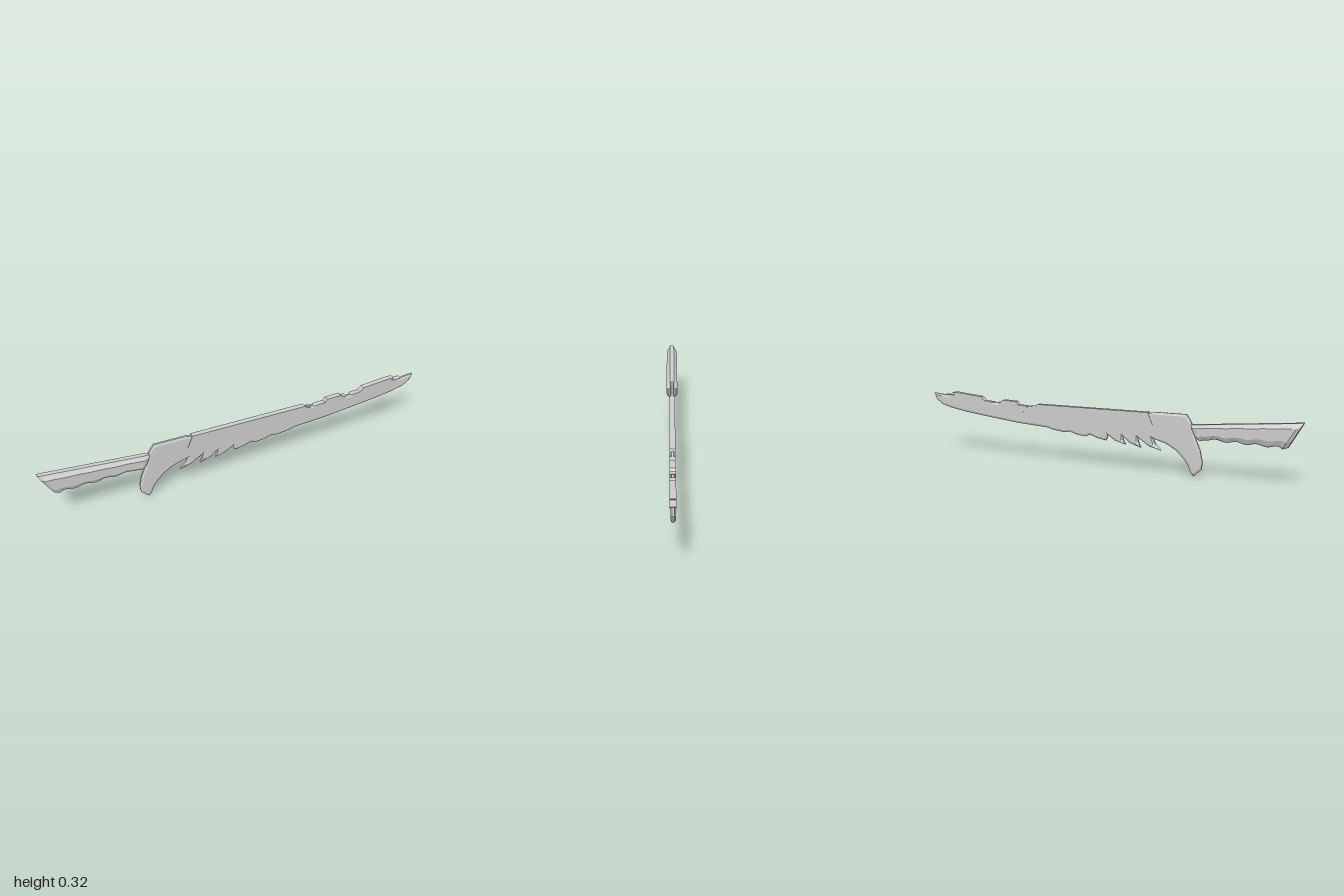
import * as THREE from 'three';

const grey = new THREE.MeshStandardMaterial({ color: 0xcccccc, flatShading: true, side: THREE.DoubleSide });

// Flat outline, centred on z = 0, with edges ground inwards
function plate(name, points, halfZ, bevel, edgeHalfZ) {
  const shape = new THREE.Shape(points.map(([x, y]) => new THREE.Vector2(x, y)));
  const geo = new THREE.ExtrudeGeometry(shape, {
    depth: edgeHalfZ * 2, bevelEnabled: bevel > 0, bevelSegments: 1,
    bevelSize: bevel, bevelOffset: -bevel, bevelThickness: halfZ - edgeHalfZ,
  });
  geo.translate(0, 0, -edgeHalfZ);
  const mesh = new THREE.Mesh(geo, grey);
  mesh.name = name;
  return mesh;
}

// Grip lofted through slanted octagonal sections: [topX, topY, bottomX, bottomY, halfZ]
function makeHandle() {
  const sections = [[-1, 0.3, -0.93, 0.18, 0.02], [-0.985, 0.298, -0.905, 0.172, 0.029]];
  const steps = 24;
  for (let i = 1; i < steps; i++) {
    const t = i / steps;
    const wave = 0.005 * Math.sin(t * Math.PI * 8);
    sections.push([-0.985 + 0.495 * t, 0.298 - 0.046 * t, -0.905 + 0.39 * t, 0.178 + 0.008 * t + wave, 0.029]);
  }
  sections.push([-0.49, 0.252, -0.51, 0.175, 0.029], [-0.465, 0.25, -0.495, 0.182, 0.021]);

  // Across the section: [fraction from top to bottom, fraction of half width]
  const ring = [[0, 0.4], [0.2, 1], [0.72, 1], [0.93, 0.65], [1, 0.3],
    [1, -0.3], [0.93, -0.65], [0.72, -1], [0.2, -1], [0, -0.4]];
  const n = ring.length;
  const pos = [];
  const index = [];
  for (const [tx, ty, bx, by, w] of sections) {
    for (const [f, s] of ring) pos.push(tx + (bx - tx) * f, ty + (by - ty) * f, w * s);
  }
  for (let i = 0; i < sections.length - 1; i++) {
    for (let j = 0; j < n; j++) {
      const a = i * n + j, b = i * n + (j + 1) % n;
      index.push(a, b, a + n, b, b + n, a + n);
    }
  }
  const last = (sections.length - 1) * n;
  for (let j = 1; j < n - 1; j++) {
    index.push(0, j + 1, j, last, last + j, last + j + 1);
  }
  const geo = new THREE.BufferGeometry();
  geo.setAttribute('position', new THREE.Float32BufferAttribute(pos, 3));
  geo.setIndex(index);
  geo.computeVertexNormals();
  const mesh = new THREE.Mesh(geo, grey);
  mesh.name = 'handle';
  return mesh;
}

export function createModel() {
  const group = new THREE.Group();
  group.name = 'serratedSword';

  group.add(makeHandle());

  // Blade with hooked guard, torn teeth and upswept tip
  group.add(plate('blade', [
    // guard hook
    [-0.44, 0.297], [-0.465, 0.26], [-0.48, 0.2], [-0.51, 0.13], [-0.523, 0.07], [-0.517, 0.035], [-0.48, 0],
    [-0.465, 0.015], [-0.455, 0.045], [-0.43, 0.08], [-0.39, 0.118], [-0.34, 0.146], [-0.27, 0.167],
    // teeth
    [-0.282, 0.14], [-0.312, 0.11], [-0.25, 0.126], [-0.19, 0.165],
    [-0.193, 0.142], [-0.207, 0.115], [-0.15, 0.133], [-0.11, 0.165],
    [-0.112, 0.145], [-0.125, 0.124], [-0.07, 0.138], [-0.03, 0.163],
    [-0.02, 0.135], [0.03, 0.143], [0.07, 0.158],
    [0.09, 0.146], [0.14, 0.15], [0.18, 0.163], [0.21, 0.157], [0.28, 0.165], [0.31, 0.174],
    // cutting edge to tip
    [0.48, 0.184], [0.65, 0.202], [0.79, 0.218], [0.89, 0.234], [0.95, 0.25], [0.985, 0.275], [1, 0.308],
    // back of the blade
    [0.94, 0.303], [0.88, 0.295], [0.65, 0.283], [0.61, 0.28], [0.42, 0.275], [0.36, 0.285], [-0.26, 0.29], [-0.27, 0.296],
  ], 0.011, 0.01, 0.005));

  // Spine plates clamped over the back of the blade
  const spines = [
    [[-0.245, 0.293], [-0.27, 0.232], [0.345, 0.235], [0.4, 0.275], [0.375, 0.278], [0.365, 0.29]],
    [[0.415, 0.276], [0.45, 0.243], [0.575, 0.247], [0.6, 0.284], [0.58, 0.286], [0.57, 0.298],
      [0.49, 0.296], [0.478, 0.279]],
    [[0.63, 0.284], [0.665, 0.252], [0.88, 0.275], [0.925, 0.306], [0.865, 0.305], [0.88, 0.319], [0.85, 0.32],
      [0.7, 0.307], [0.68, 0.287]],
  ];
  spines.forEach((outline, i) => group.add(plate(`spinePlate${i + 1}`, outline, 0.0135, 0, 0.0135)));

  return group;
}
